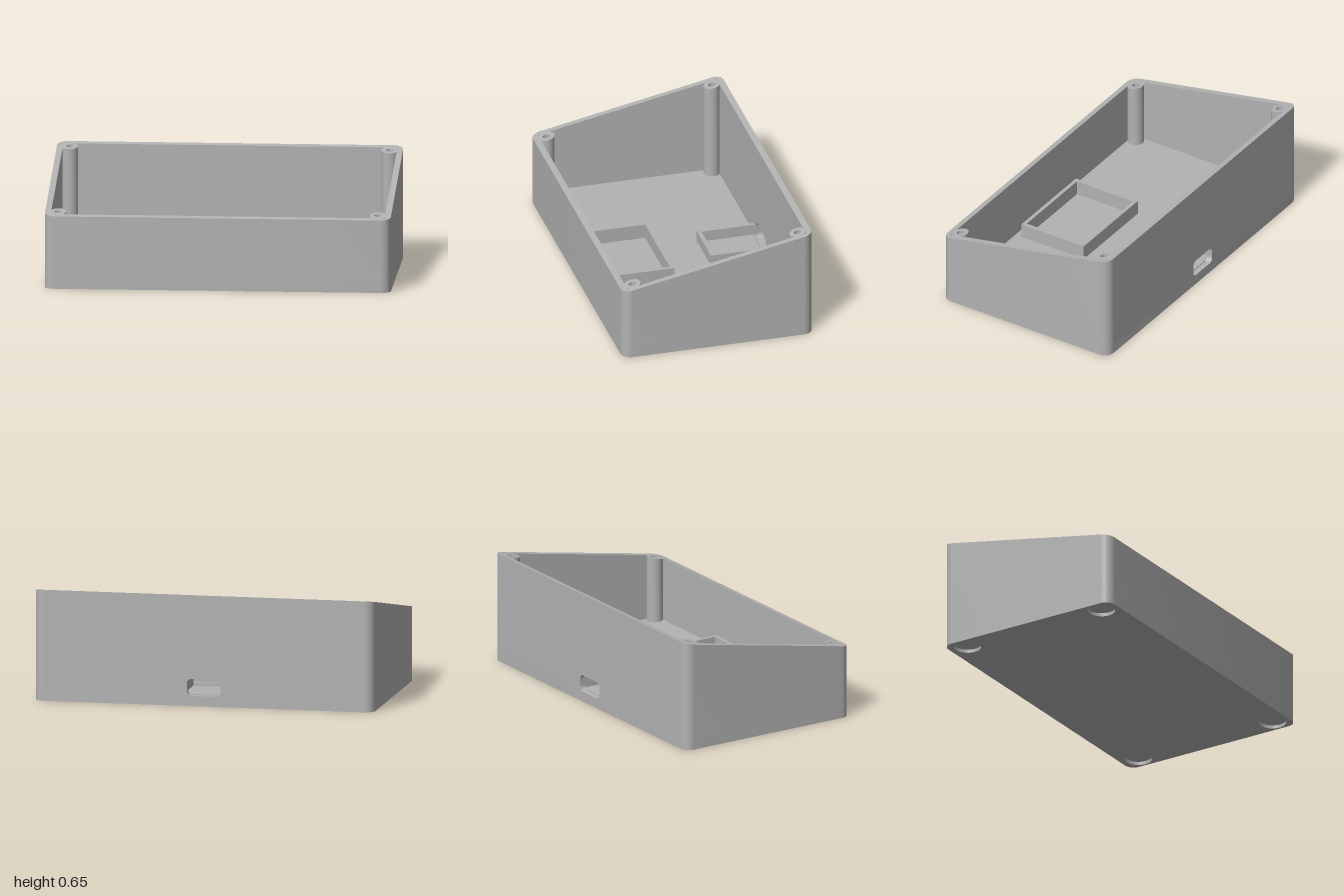
import * as THREE from 'three';
import { toCreasedNormals } from 'three/addons/utils/BufferGeometryUtils.js';

const W = 1, D = 0.57, R = 0.057;        // outer half width, half depth, corner radius
const WI = 0.965, DI = 0.535;            // inner half width and half depth
const FLOOR = 0.058, FOOT = 0.02;        // floor top, foot pocket depth
const rimY = (z) => 0.5375 - 0.1974 * z; // sloping rim

const circle = (x, y, r) => new THREE.Path().absarc(x, y, r, 0, Math.PI * 2, false);
const disc = (r) => new THREE.Shape().absarc(0, 0, r, 0, Math.PI * 2, false);

// Rounded rectangle drawn into a shape or path
function roundRect(p, x0, y0, x1, y1, r) {
  const h = Math.PI / 2;
  p.moveTo(x0 + r, y0);
  p.absarc(x1 - r, y0 + r, r, -h, 0, false);
  p.absarc(x1 - r, y1 - r, r, 0, h, false);
  p.absarc(x0 + r, y1 - r, r, h, 2 * h, false);
  p.absarc(x0 + r, y0 + r, r, 2 * h, 3 * h, false);
  p.closePath();
  return p;
}

function rect(p, x0, y0, x1, y1) {
  p.moveTo(x0, y0);
  p.lineTo(x1, y0);
  p.lineTo(x1, y1);
  p.lineTo(x0, y1);
  p.closePath();
  return p;
}

// Plan shape (shape y points to the back) raised from y0 to y1
function raise(shape, y0, y1) {
  const g = new THREE.ExtrudeGeometry(shape, { depth: y1 - y0, bevelEnabled: false, curveSegments: 16 });
  return g.rotateX(-Math.PI / 2).translate(0, y0, 0);
}

// Move the top vertices onto the sloping rim
function slopeTop(g) {
  const p = g.attributes.position;
  for (let i = 0; i < p.count; i++) if (p.getY(i) > 0.3) p.setY(i, rimY(p.getZ(i)));
  return g;
}

export function createModel() {
  const group = new THREE.Group();
  const grey = new THREE.MeshStandardMaterial({ color: 0xb2b2b2 });
  grey.name = 'grey plastic';

  const add = (name, geometry) => {
    const mesh = new THREE.Mesh(toCreasedNormals(geometry, 0.5), grey);
    mesh.name = name;
    group.add(mesh);
    return mesh;
  };
  const box = (name, x0, x1, y0, y1, z0, z1) => add(name,
    new THREE.BoxGeometry(x1 - x0, y1 - y0, z1 - z0)
      .translate((x0 + x1) / 2, (y0 + y1) / 2, (z0 + z1) / 2));

  // Underside with four round foot pockets, and the floor above it
  const base = roundRect(new THREE.Shape(), -W, -D, W, D, R);
  for (const sx of [-1, 1]) for (const sz of [-1, 1]) base.holes.push(circle(sx * 0.91, sz * 0.46, 0.078));
  add('footPocketPlate', raise(base, 0, FOOT));
  add('floor', raise(roundRect(new THREE.Shape(), -W, -D, W, D, R), FOOT, FLOOR));

  // Front and side walls with all four rounded corners
  const h = Math.PI / 2, cx = W - R, cy = D - R;
  const walls = new THREE.Shape();
  walls.moveTo(cx, D);
  walls.absarc(cx, cy, R, h, 0, true);
  walls.absarc(cx, -cy, R, 0, -h, true);
  walls.absarc(-cx, -cy, R, -h, -2 * h, true);
  walls.absarc(-cx, cy, R, 2 * h, h, true);
  for (const [x, y] of [[-cx, DI], [-WI, DI], [-WI, -DI], [WI, -DI], [WI, DI], [cx, DI]]) walls.lineTo(x, y);
  walls.closePath();
  add('frontAndSideWalls', slopeTop(raise(walls, FLOOR, 0.6)));

  // Back wall with the port opening
  const back = rect(new THREE.Shape(), -cx, FLOOR, cx, 0.6);
  back.holes.push(roundRect(new THREE.Path(), -0.1, 0.06, 0.1, 0.16, 0.03));
  add('backWall', slopeTop(
    new THREE.ExtrudeGeometry(back, { depth: D - DI, bevelEnabled: false, curveSegments: 8 }).translate(0, 0, -D)));

  // Screw posts in the corners, cut to the slope of the rim
  for (const sx of [-1, 1]) for (const sz of [-1, 1]) {
    const post = disc(0.048);
    post.holes.push(circle(0, 0, 0.021));
    add('screwPost', slopeTop(raise(post, FLOOR, 0.6).translate(sx * 0.925, 0, sz * 0.495)));
  }

  // Small board standoffs
  for (const [x, z] of [[0.725, -0.455], [0.31, -0.185]]) {
    const standoff = disc(0.036);
    standoff.holes.push(circle(0, 0, 0.016));
    add('standoff', raise(standoff, FLOOR, 0.118).translate(x, 0, z));
  }

  // Three-sided board tray behind the port, with low ledges
  box('trayRightWall', -0.16, -0.138, FLOOR, 0.122, -DI, -0.19);
  box('trayLeftWall', 0.134, 0.156, FLOOR, 0.122, -DI, -0.19);
  box('trayFrontWall', -0.138, 0.134, FLOOR, 0.122, -0.215, -0.19);
  box('trayFrontLedge', -0.13, 0.126, FLOOR, 0.08, -0.235, -0.215);
  box('trayBackLedge', -0.13, 0.126, FLOOR, 0.065, -DI, -0.523);

  // Rectangular frame near the front
  const frame = rect(new THREE.Shape(), -0.29, -0.493, 0.284, -0.065);
  frame.holes.push(rect(new THREE.Path(), -0.268, -0.471, 0.262, -0.087));
  add('batteryFrame', raise(frame, FLOOR, 0.145));

  return group;
}
